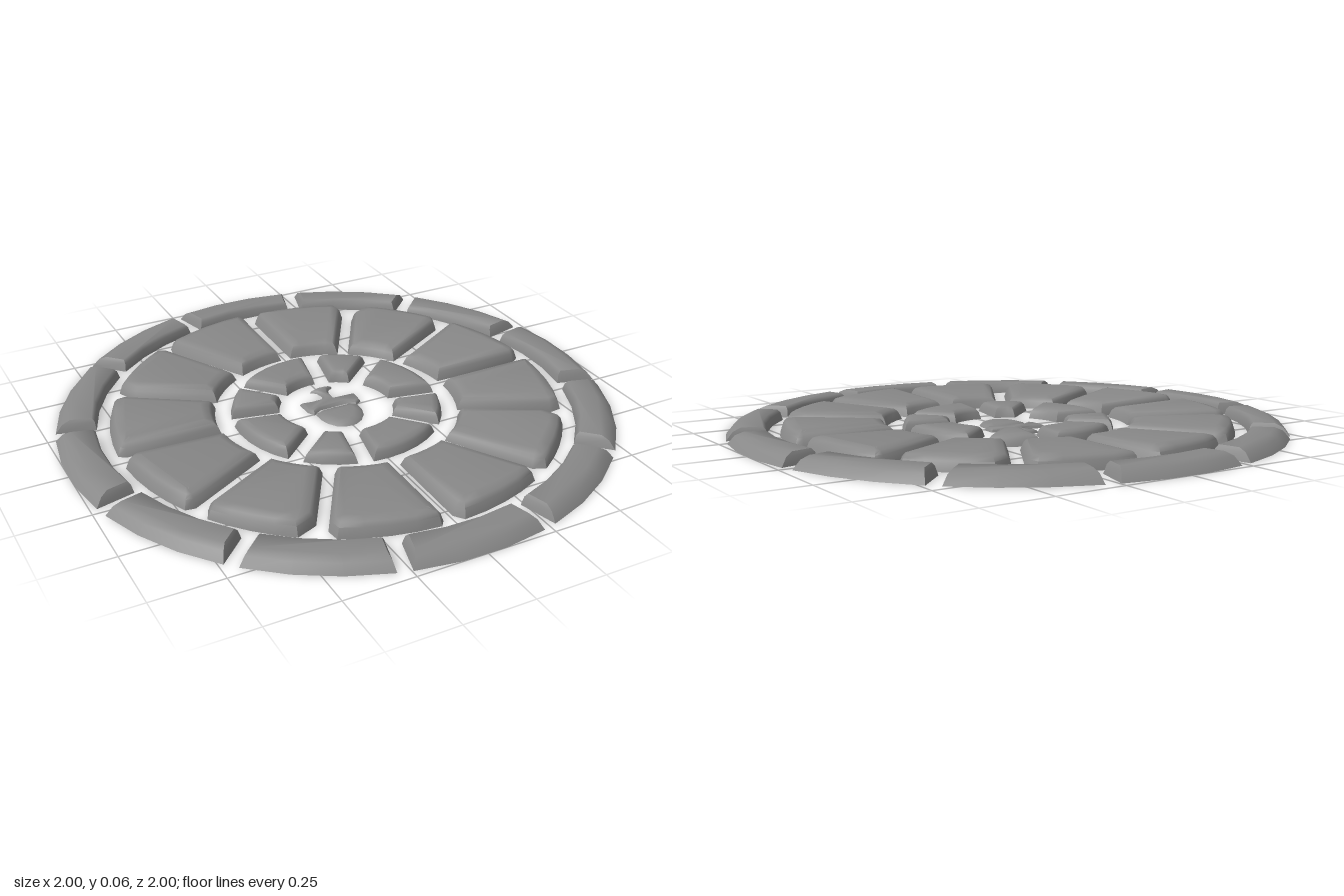
import * as THREE from 'three';
import { toCreasedNormals } from 'three/addons/utils/BufferGeometryUtils.js';

const material = new THREE.MeshStandardMaterial({ color: 0x888888 });
const rad = THREE.MathUtils.degToRad;

// Point on the ground plan; angle runs clockwise from the back, seen from above.
const polar = (r, a) => new THREE.Vector2(r * Math.sin(a), r * Math.cos(a));

// Mitred inward offset of a counter-clockwise outline.
function inset(points, d) {
  const n = points.length;
  const normal = (p, q) => new THREE.Vector2(p.y - q.y, q.x - p.x).normalize();
  return points.map((p, i) => {
    const n1 = normal(points[(i + n - 1) % n], p);
    const n2 = normal(p, points[(i + 1) % n]);
    const k = d / Math.max(0.5, 1 + n1.dot(n2));
    return p.clone().add(n1.add(n2).multiplyScalar(k));
  });
}

// Turns [inset, height] pairs into [outline, height] layers.
const bevel = (outline, steps) => steps.map(([d, h]) => [inset(outline, d), h]);

// Stone slab: stacked outlines joined by side faces, with a cap at each end.
function stone(name, layers, lift = () => 1) {
  const loops = layers.map(([outline, h]) => outline.map((p) => [p.x, h * lift(p), -p.y]));
  const pos = [];
  const tri = (a, b, c) => pos.push(...a, ...b, ...c);
  for (let j = 0; j < loops.length - 1; j++) {
    const lo = loops[j], hi = loops[j + 1];
    for (let i = 0; i < lo.length; i++) {
      const k = (i + 1) % lo.length;
      tri(lo[i], lo[k], hi[k]);
      tri(lo[i], hi[k], hi[i]);
    }
  }
  const last = loops.length - 1, top = loops[last], base = loops[0];
  for (const [a, b, c] of THREE.ShapeUtils.triangulateShape(layers[last][0], [])) tri(top[a], top[b], top[c]);
  for (const [a, b, c] of THREE.ShapeUtils.triangulateShape(layers[0][0], [])) tri(base[c], base[b], base[a]);
  const geometry = new THREE.BufferGeometry();
  geometry.setAttribute('position', new THREE.Float32BufferAttribute(pos, 3));
  const mesh = new THREE.Mesh(toCreasedNormals(geometry, rad(55)), material);
  mesh.name = name;
  return mesh;
}

// Ring sector between two joints of half-width g; cuts trim the two outer corners.
function sector(r0, r1, a0, a1, g, steps, cuts = [0, 0]) {
  const start = (r) => a0 + Math.asin(g / r);
  const end = (r) => a1 - Math.asin(g / r);
  const pts = [];
  for (let i = 0; i <= steps; i++) pts.push(polar(r0, THREE.MathUtils.lerp(end(r0), start(r0), i / steps)));
  if (cuts[0]) pts.push(polar(r1 - cuts[0], start(r1 - cuts[0])));
  const from = start(r1) + cuts[0] * 0.9, to = end(r1) - cuts[1] * 0.9;
  for (let i = 0; i <= steps; i++) pts.push(polar(r1, THREE.MathUtils.lerp(from, to, i / steps)));
  if (cuts[1]) pts.push(polar(r1 - cuts[1], end(r1 - cuts[1])));
  return pts.reverse();
}

export function createModel() {
  const model = new THREE.Group();
  model.name = 'stonePaving';
  const ring = (name) => {
    const g = new THREE.Group();
    g.name = name;
    model.add(g);
    return g;
  };

  // Outer kerb: twelve stones, sloping down to the rim
  const kerb = ring('outerKerb');
  const kerbProfile = [[0.86, 1.003, 0.025, 0], [0.865, 0.978, 0.034, 0.03], [0.875, 0.95, 0.042, 0.042]];
  for (let k = 0; k < 12; k++) {
    const a = rad(30 * k + 0.6);
    kerb.add(stone('kerbStone', kerbProfile.map(([r0, r1, g, h]) =>
      [sector(r0, r1, a - rad(15), a + rad(15), g, 3), h])));
  }

  // Middle ring: twelve wide slabs that rise outwards, three kinds repeating
  const slabs = ring('middleRing');
  const cuts = [[0.025, 0.04], [0.07, 0.04], [0.03, 0.035]];
  const tilts = [0.35, -0.3, 0.25];
  for (let k = 0; k < 12; k++) {
    const a = rad(30 * k + 0.7), mid = polar(1, a + rad(15));
    const lift = (p) => 0.9 + 0.39 * (p.length() - 0.44)
      + tilts[k % 3] * (p.x * mid.y - p.y * mid.x);
    const outline = sector(0.44, 0.815, a, a + rad(30), 0.02, 4, cuts[k % 3]);
    slabs.add(stone('slab', bevel(outline, [[0, 0], [0.011, 0.032], [0.022, 0.045], [0.05, 0.052]]), lift));
  }

  // Inner ring: long and short stones alternating
  const inner = ring('innerRing');
  const joints = [-41.5, 12, 48.5];
  for (let q = 0; q < 4; q++) {
    for (let j = 0; j < 2; j++) {
      const outline = sector(0.207, 0.383, rad(joints[j] + 90 * q), rad(joints[j + 1] + 90 * q), 0.027, j ? 3 : 5);
      inner.add(stone(j ? 'shortStone' : 'longStone',
        bevel(outline, [[0, 0], [0.008, 0.026], [0.017, 0.037], [0.035, 0.043]])));
    }
  }

  // Centre: a thin acorn in two pieces, outlines given as x, z
  const plan = (list) => list.map(([x, z]) => new THREE.Vector2(x, -z)).reverse();
  const acorn = ring('acorn');
  const nut = [[-0.085, 0.008], [-0.055, -0.01], [0.055, -0.01], [0.085, 0.008], [0.082, 0.045], [0.071, 0.08],
    [0.045, 0.112], [0.018, 0.128], [0, 0.132], [-0.025, 0.128], [-0.055, 0.112], [-0.076, 0.08], [-0.085, 0.045]];
  const cap = [[-0.107, -0.085], [-0.06, -0.078], [-0.016, -0.08], [-0.006, -0.105], [-0.012, -0.135],
    [-0.032, -0.152], [0, -0.163], [0.032, -0.162], [0.06, -0.15], [0.037, -0.137], [0.026, -0.112],
    [0.027, -0.07], [0.11, -0.066], [0.106, -0.01], [0.08, 0.005], [0.053, -0.018], [-0.055, -0.018],
    [-0.09, 0.005], [-0.104, -0.02]];
  acorn.add(stone('nut', bevel(plan(nut), [[0, 0], [0.01, 0.009], [0.03, 0.015]])));
  acorn.add(stone('capAndStem', bevel(plan(cap), [[0, 0], [0.004, 0.008], [0.01, 0.013]])));

  return model;
}
